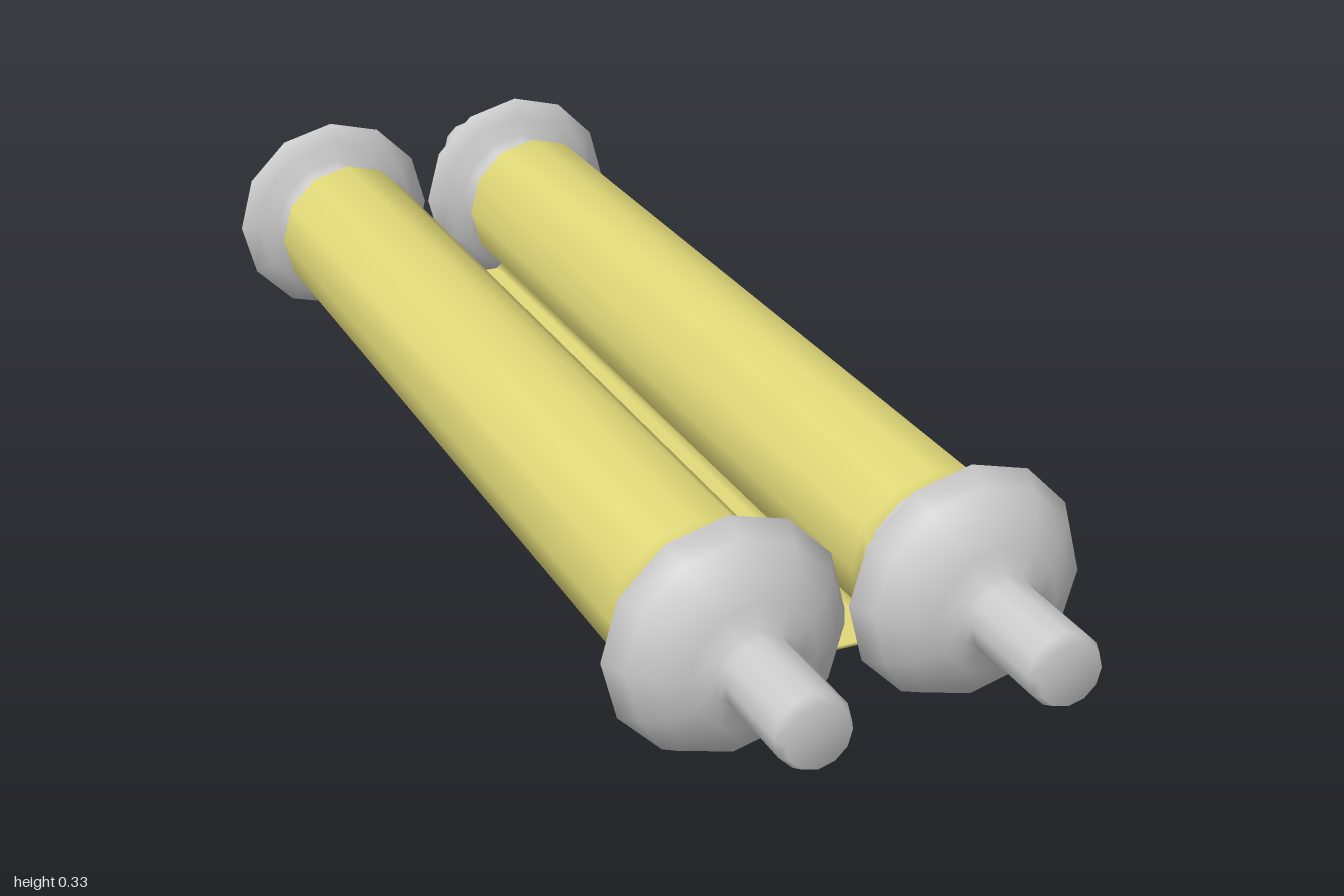
import * as THREE from 'three';
import { mergeVertices } from 'three/addons/utils/BufferGeometryUtils.js';

const CX = 0.166, CY = 0.164; // roller axis
const SIDES = 12;

// One roller: turned handles at both ends joined by a core
function rollerGeometry() {
  const half = [ // [radius, distance from the middle]
    [0.095, 0.66], [0.095, 0.725], [0.108, 0.731], [0.135, 0.745], [0.163, 0.758],
    [0.146, 0.79], [0.12, 0.818], [0.085, 0.838], [0.056, 0.845], [0.05, 0.86],
    [0.05, 0.985], [0.043, 1], [0, 1],
  ];
  const front = half.map(([r, d]) => new THREE.Vector2(r, d));
  const back = half.map(([r, d]) => new THREE.Vector2(r, -d)).reverse();
  return new THREE.LatheGeometry([...back, ...front], SIDES).rotateX(Math.PI / 2);
}

// Parchment: two rolls joined by a thin sheet along the bottom
function parchmentGeometry() {
  const R = 0.115, length = 1.35, thickness = 0.005;
  const points = [];
  const roll = (cx, from, to) => {
    const step = (2 * Math.PI) / SIDES;
    for (let i = from; i <= to; i++) {
      points.push(new THREE.Vector2(cx + R * Math.cos(i * step), CY + R * Math.sin(i * step)));
    }
  };
  const sheetTop = CY - R + thickness;
  roll(CX, -3, 8);
  points.push(new THREE.Vector2(CX - 0.07, sheetTop), new THREE.Vector2(-CX + 0.07, sheetTop));
  roll(-CX, -2, 9);
  const geo = new THREE.ExtrudeGeometry(new THREE.Shape(points), { depth: length, bevelEnabled: false });
  geo.translate(0, 0, -length / 2);
  // Shared corners give the soft shading that runs over the ends
  geo.deleteAttribute('normal');
  geo.deleteAttribute('uv');
  const smooth = mergeVertices(geo, 1e-4);
  smooth.computeVertexNormals();
  return smooth;
}

export function createModel() {
  const group = new THREE.Group();
  group.name = 'scroll';
  const grey = new THREE.MeshStandardMaterial({ color: 0xcccccc });
  const yellow = new THREE.MeshStandardMaterial({ color: 0xe0d878 });

  const rollerGeo = rollerGeometry();
  for (const [name, side] of [['leftRoller', 1], ['rightRoller', -1]]) {
    const roller = new THREE.Mesh(rollerGeo, grey);
    roller.name = name;
    roller.position.set(side * CX, CY, 0);
    group.add(roller);
  }

  const parchment = new THREE.Mesh(parchmentGeometry(), yellow);
  parchment.name = 'parchment';
  group.add(parchment);
  return group;
}
